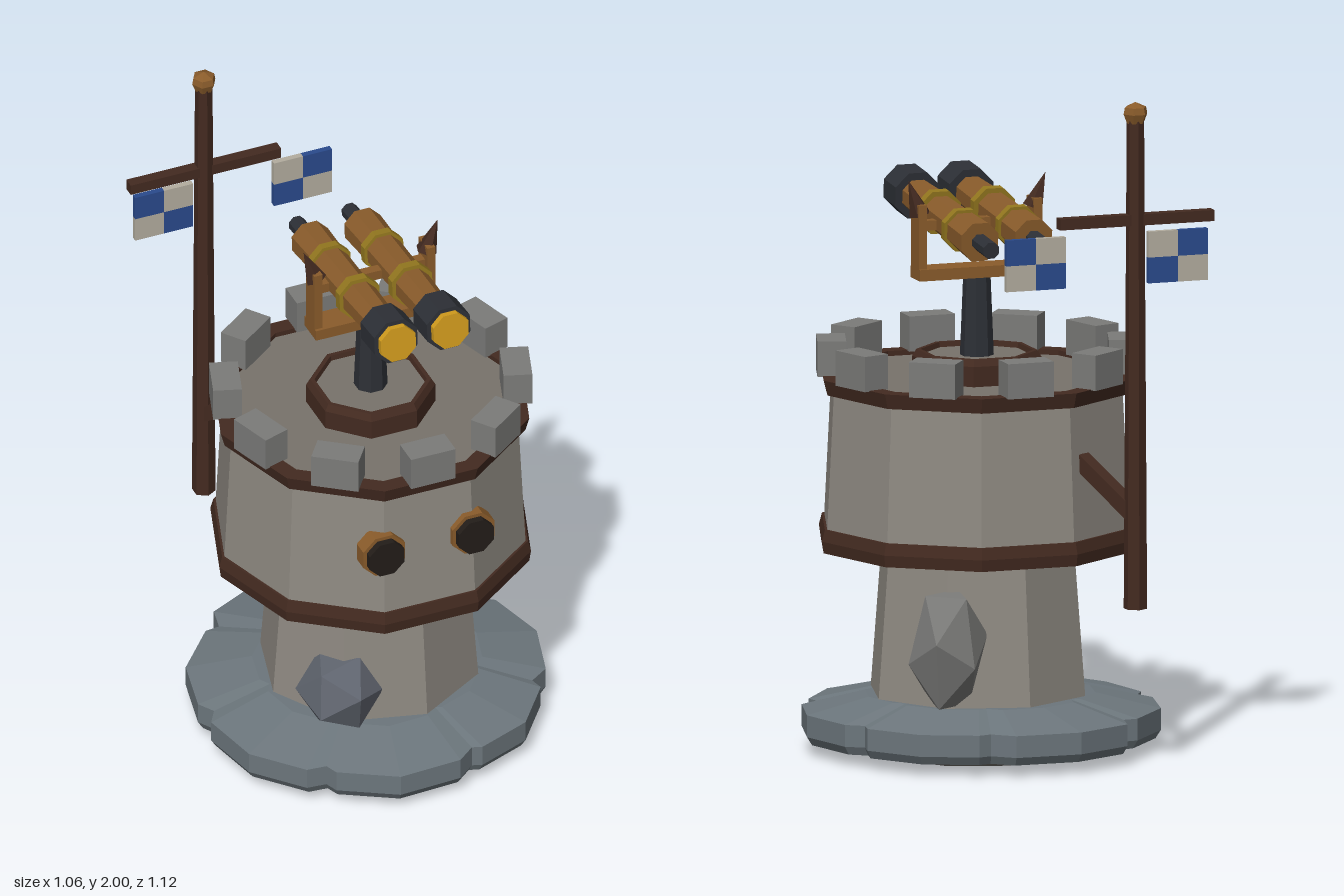
import * as THREE from 'three';

const CZ = 0.04; // tower axis in z
const mat = (color, extra = {}) => new THREE.MeshStandardMaterial({ color, flatShading: true, ...extra });
const M = {
  stone: mat(0x8f8a82), floor: mat(0x78736b), merlon: mat(0x7b7b79), slab: mat(0x6c767c),
  rock: mat(0x60656f), under: mat(0x3a3835), wood: mat(0x432a20), brass: mat(0x8a5c2b),
  ring: mat(0x94781f), lens: mat(0xd29c1d), iron: mat(0x2d3036), hole: mat(0x231d19),
  blue: mat(0x2a4a8c), cream: mat(0xb3ad9f),
};

function add(parent, name, geo, material, x = 0, y = 0, z = 0) {
  const mesh = new THREE.Mesh(geo, material);
  mesh.name = name;
  mesh.position.set(x, y, z);
  parent.add(mesh);
  return mesh;
}
const box = (w, h, d) => new THREE.BoxGeometry(w, h, d);

// Faceted solid of revolution with a flat side facing the front
function turned(profile, sides, turn = Math.PI / sides) {
  return new THREE.LatheGeometry(profile.map(p => new THREE.Vector2(...p)), sides).rotateY(turn);
}

// Octagonal tube lying along z, from z0 (back) to z1 (front)
function tubeZ(rFront, rBack, z0, z1, sides = 8) {
  return new THREE.CylinderGeometry(rFront, rBack, z1 - z0, sides)
    .rotateY(Math.PI / sides).rotateX(Math.PI / 2).translate(0, 0, (z0 + z1) / 2);
}

// Scalloped rock slab lofted from scaled copies of one outline
function slabGeometry() {
  const outline = [
    [-.13, -.505], [.07, -.5], [.13, -.445], [.17, -.455], [.33, -.385], [.44, -.235], [.43, -.185],
    [.48, -.15], [.53, .04], [.48, .225], [.42, .265], [.43, .305], [.32, .45], [.155, .515],
    [.125, .505], [.07, .55], [-.125, .56], [-.29, .465], [-.305, .425], [-.365, .42], [-.49, .28],
    [-.53, .09], [-.5, .04], [-.53, -.01], [-.49, -.195], [-.365, -.34], [-.32, -.345], [-.305, -.42]];
  const levels = [[0.58, 0.004], [0.97, 0.035], [1, 0.06], [1, 0.125], [0.64, 0.17], [0, 0.17]];
  const point = (i, k) => {
    const [x, z] = outline[i % outline.length], [s, y] = levels[k];
    return [x * s, y, 0.03 + (z - 0.03) * s];
  };
  const pos = [];
  for (let k = 0; k < levels.length - 1; k++)
    for (let i = 0; i < outline.length; i++) {
      const a = point(i, k), b = point(i + 1, k), c = point(i + 1, k + 1), d = point(i, k + 1);
      pos.push(...a, ...c, ...b, ...a, ...d, ...c);
    }
  const geo = new THREE.BufferGeometry();
  geo.setAttribute('position', new THREE.Float32BufferAttribute(pos, 3));
  geo.computeVertexNormals();
  return geo;
}

function buildBase(root) {
  add(root, 'rockSlab', slabGeometry(), M.slab);
  add(root, 'slabUnderside', new THREE.CylinderGeometry(0.33, 0.33, 0.02, 10), M.under, 0, 0.01, 0.03);
  add(root, 'neck', turned([[0, 0.1], [0.335, 0.1], [0.295, 0.62], [0, 0.62]], 8, 0.14), M.stone, 0, 0, 0.03);

  const front = add(root, 'frontBoulder', new THREE.IcosahedronGeometry(0.13), M.rock, -0.195, 0.27, 0.265);
  front.rotation.set(0.3, 0.2, 0.1);
  const back = add(root, 'backBoulder', new THREE.IcosahedronGeometry(1).rotateX(0.4), M.merlon, 0.185, 0.345, -0.225);
  back.scale.set(0.12, 0.21, 0.12);
  back.rotation.set(-0.12, 0.4, 0);
}

function buildDrum(root) {
  const drum = new THREE.Group();
  drum.name = 'drum';
  drum.position.z = CZ;
  root.add(drum);
  const wall = [[0, 0.61], [0.46, 0.61], [0.468, 0.65], [0.445, 1.1], [0, 1.1]];
  add(drum, 'drumWall', turned(wall, 10), M.stone);

  // Wooden bands
  const lower = [[0.45, 0.605], [0.478, 0.605], [0.483, 0.64], [0.474, 0.675], [0.45, 0.675]];
  const upper = [[0.425, 1.075], [0.466, 1.075], [0.478, 1.12], [0.425, 1.12], [0.425, 1.075]];
  add(drum, 'lowerBand', turned(lower, 10), M.wood);
  add(drum, 'upperBand', turned(upper, 10), M.wood);
  add(drum, 'floor', turned([[0.44, 1.105], [0, 1.105]], 10), M.floor);

  // One merlon over the middle of each side
  for (let i = 0; i < 10; i++) {
    const a = i * Math.PI / 5;
    const m = add(drum, 'merlon', box(0.142, 0.105, 0.085), M.merlon, Math.sin(a) * 0.428, 1.17, Math.cos(a) * 0.428);
    m.rotation.y = a;
  }

  // Portholes
  for (const x of [-0.148, 0.137]) {
    add(drum, 'portholeRim', tubeZ(0.072, 0.072, 0.4, 0.45), M.brass, x, 0.886);
    add(drum, 'portholeGlass', tubeZ(0.06, 0.06, 0.4, 0.472), M.hole, x, 0.886);
  }
}

function buildTelescope(root) {
  const mount = new THREE.Group();
  mount.name = 'telescopeMount';
  mount.position.z = CZ;
  root.add(mount);
  const ring = [[0.19, 1.1], [0.19, 1.165], [0.178, 1.185], [0.165, 1.185], [0.16, 1.165]];
  add(mount, 'turntableRing', turned(ring, 8), M.wood);
  add(mount, 'turntableTop', turned([[0.17, 1.17], [0, 1.17]], 8), M.floor);
  add(mount, 'post', new THREE.CylinderGeometry(0.04, 0.052, 0.3, 8).rotateY(Math.PI / 8), M.iron, 0, 1.265);

  // Yoke with a thorn on each arm
  add(mount, 'yokeBar', box(0.385, 0.034, 0.085), M.brass, 0, 1.422);
  add(mount, 'yokeAxle', box(0.36, 0.03, 0.03), M.brass, 0, 1.565);
  for (const s of [-1, 1]) {
    add(mount, 'yokeArm', box(0.026, 0.2, 0.066), M.brass, s * 0.18, 1.53);
    const thorn = add(mount, 'yokeThorn', new THREE.ConeGeometry(0.033, 0.11, 5), M.wood, s * 0.195, 1.65);
    thorn.rotation.z = -s * 0.35;
  }

  // Two matching barrels, tilted up toward the front
  for (const x of [-0.088, 0.08]) {
    const barrel = new THREE.Group();
    barrel.name = 'barrel';
    barrel.position.set(x, 1.58, 0.12);
    barrel.rotation.x = -0.09;
    root.add(barrel);
    add(barrel, 'barrelRear', tubeZ(0.057, 0.062, -0.33, -0.175), M.brass);
    add(barrel, 'barrelMiddle', tubeZ(0.053, 0.057, -0.18, 0.035), M.brass);
    add(barrel, 'barrelFront', tubeZ(0.05, 0.057, 0.03, 0.23), M.brass);
    add(barrel, 'rearRing', tubeZ(0.067, 0.067, -0.195, -0.168), M.ring);
    add(barrel, 'frontRing', tubeZ(0.069, 0.069, 0.015, 0.045), M.ring);
    add(barrel, 'hood', tubeZ(0.074, 0.074, 0.215, 0.318), M.iron);
    add(barrel, 'lens', tubeZ(0.06, 0.06, 0.3, 0.337), M.lens);
    add(barrel, 'eyepiece', tubeZ(0.026, 0.026, -0.43, -0.32), M.iron);
  }
}

function buildBanner(root) {
  const X = -0.29, Z = -0.53;
  add(root, 'bannerPole', new THREE.CylinderGeometry(0.026, 0.035, 1.46, 6), M.wood, X, 1.22, Z);
  add(root, 'poleCap', turned([[0, 1.935], [0.026, 1.937], [0.037, 1.965], [0.033, 1.985], [0, 2]], 6), M.brass, X, 0, Z);
  add(root, 'crossbar', box(0.48, 0.033, 0.034), M.wood, -0.29, 1.65, Z);

  // Strut from pole to drum
  const from = new THREE.Vector3(X, 0.77, Z), to = new THREE.Vector3(-0.185, 0.91, -0.345);
  const strut = add(root, 'poleStrut', box(0.045, 0.045, from.distanceTo(to)), M.wood);
  strut.position.lerpVectors(from, to, 0.5);
  strut.lookAt(to);

  // Chequered flags, mirrored
  for (const [cx, flip] of [[-0.42, 0], [0.023, 1]])
    for (let i = 0; i < 2; i++)
      for (let j = 0; j < 2; j++)
        add(root, 'flagPanel', box(0.0925, 0.077, 0.018), (i + j + flip) % 2 ? M.blue : M.cream,
          cx + (i - 0.5) * 0.0925, 1.535 + (j - 0.5) * 0.077, Z);
}

export function createModel() {
  const root = new THREE.Group();
  root.name = 'watchtower';
  buildBase(root);
  buildDrum(root);
  buildTelescope(root);
  buildBanner(root);
  return root;
}
